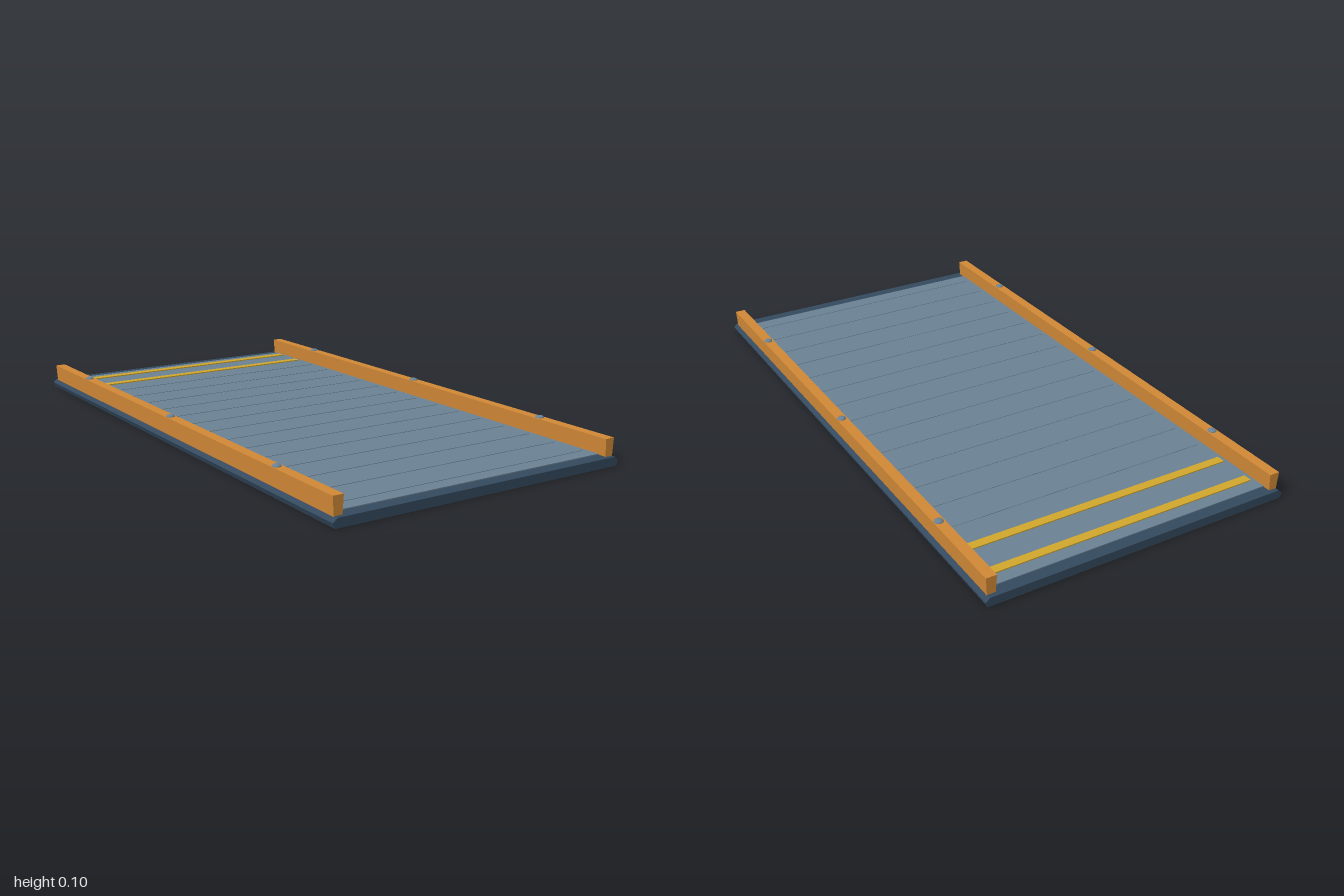
import * as THREE from 'three';

const paint = (name, color) => {
  const m = new THREE.MeshStandardMaterial({ color });
  m.name = name;
  return m;
};

// Extrude an [x, y] outline along z, centred on z = 0
function prism(points, length) {
  const shape = new THREE.Shape(points.map(([x, y]) => new THREE.Vector2(x, y)));
  const geo = new THREE.ExtrudeGeometry(shape, { depth: length, bevelEnabled: false });
  return geo.translate(0, 0, -length / 2);
}

export function createModel() {
  const model = new THREE.Group();
  model.name = 'rampPanel';

  const frameSteel = paint('dark slate', 0x34495e);
  const deckSteel = paint('blue grey', 0x6b8294);
  const railOrange = paint('orange', 0xd08836);
  const stripeYellow = paint('yellow', 0xd0a62c);

  const add = (name, geo, mat, x = 0, y = 0, z = 0) => {
    const mesh = new THREE.Mesh(geo, mat);
    mesh.name = name;
    mesh.position.set(x, y, z);
    model.add(mesh);
    return mesh;
  };

  // Base slab with chamfered long edges
  add('base', prism([
    [-0.533, 0], [0.533, 0], [0.54, 0.017], [0.525, 0.03], [-0.525, 0.03], [-0.54, 0.017],
  ], 2), frameSteel);

  // Deck plate, leaving a dark strip at each end
  add('deck', new THREE.BoxGeometry(1, 0.004, 1.915), deckSteel, 0, 0.031, -0.0025);

  // Low grip ridges across the deck
  const ridge = new THREE.BoxGeometry(0.96, 0.002, 0.008);
  for (let i = 0; i < 16; i++) {
    add('gripRidge', ridge, deckSteel, 0, 0.0335, -0.9 + i * 0.12);
  }

  // Warning stripes near the back end
  const stripe = new THREE.BoxGeometry(0.965, 0.004, 0.03);
  for (const z of [-0.903, -0.775]) add('warningStripe', stripe, stripeYellow, 0, 0.035, z);

  // Side rails flare slightly upward, with three domed bolts each
  const rail = prism([[-0.014, 0.028], [0.014, 0.028], [0.018, 0.088], [-0.018, 0.088]], 1.97);
  const bolt = new THREE.SphereGeometry(0.015, 16, 6, 0, Math.PI * 2, 0, Math.PI / 2);
  bolt.scale(1, 0.5, 1);
  for (const side of [-1, 1]) {
    add(side > 0 ? 'leftRail' : 'rightRail', rail, railOrange, side * 0.513);
    for (const z of [-0.685, 0, 0.675]) add('railBolt', bolt, deckSteel, side * 0.514, 0.088, z);
  }

  return model;
}
